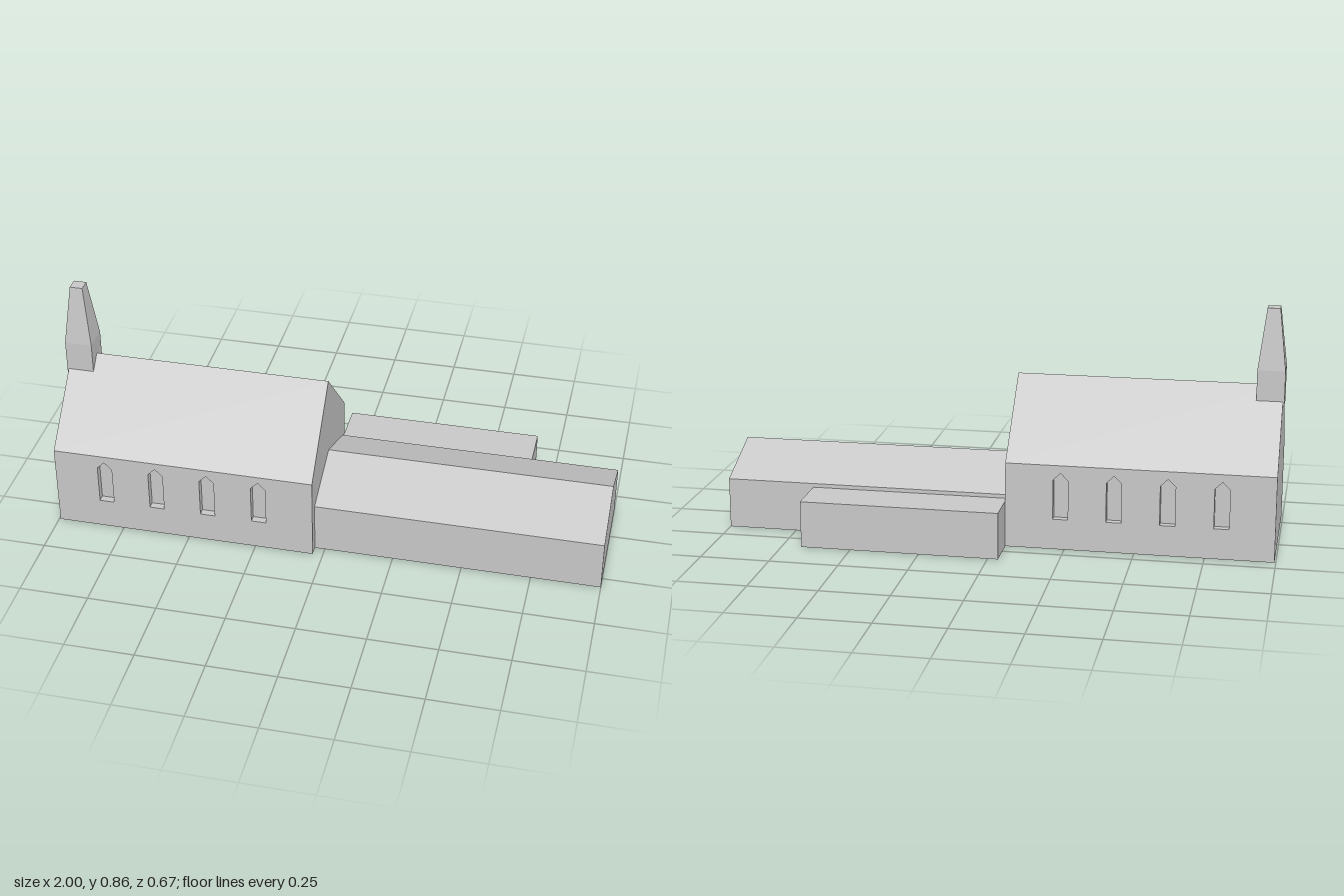
import * as THREE from 'three';

const stone = new THREE.MeshStandardMaterial({ color: 0xc8c8c8, flatShading: true });
stone.name = 'stone grey';

const JOIN = -0.037, WEST = -0.995, RIDGE_Z = 0.07, RECESS = 0.027;

function add(group, name, geometry, x = 0, y = 0, z = 0) {
  const mesh = new THREE.Mesh(geometry, stone);
  mesh.name = name;
  mesh.position.set(x, y, z);
  group.add(mesh);
  return mesh;
}

// Extrudes a cross-section given as [z, y] points from x0 to x1
function extrudeAlongX(points, x0, x1) {
  const shape = new THREE.Shape(points.map(([z, y]) => new THREE.Vector2(z, y)));
  const geometry = new THREE.ExtrudeGeometry(shape, { depth: x1 - x0, bevelEnabled: false });
  return geometry.rotateY(-Math.PI / 2).translate(x1, 0, 0);
}

// Wall slab with four pointed window openings
function windowWall(height) {
  const wall = new THREE.Shape([[WEST, 0], [JOIN, 0], [JOIN, height], [WEST, height]]
    .map(([x, y]) => new THREE.Vector2(x, y)));
  const half = 0.027;
  for (let i = 0; i < 4; i++) {
    const x = -0.807 + i * 0.1905;
    wall.holes.push(new THREE.Path([
      [x - half, 0.112], [x - half, 0.257], [x, 0.284], [x + half, 0.257], [x + half, 0.112],
    ].map(([px, py]) => new THREE.Vector2(px, py))));
  }
  return new THREE.ExtrudeGeometry(wall, { depth: RECESS, bevelEnabled: false });
}

export function createModel() {
  const model = new THREE.Group();
  model.name = 'church';

  // Nave: gabled core, set in under the eaves to leave room for the window walls
  const front = 0.336, back = -0.193, eaveFront = 0.309, eaveBack = 0.312;
  add(model, 'naveAndRoof', extrudeAlongX([
    [back + RECESS, 0], [front - RECESS, 0], [front - RECESS, eaveFront], [front, eaveFront],
    [RIDGE_Z, 0.576], [back, eaveBack], [back + RECESS, eaveBack],
  ], WEST, JOIN));
  add(model, 'frontWindowWall', windowWall(eaveFront), 0, 0, front - RECESS);
  add(model, 'backWindowWall', windowWall(eaveBack), 0, 0, back);

  // Low gabled hall
  add(model, 'hall', extrudeAlongX([
    [-0.163, 0], [0.299, 0], [0.299, 0.186], [RIDGE_Z, 0.277], [-0.163, 0.184],
  ], JOIN, 1));

  // Flat-roofed annex behind the hall
  const annexWidth = 0.68 - JOIN;
  add(model, 'annex', new THREE.BoxGeometry(annexWidth, 0.17, 0.173),
    JOIN + annexWidth / 2, 0.085, -0.2495);

  // Bell turret with a blunt, tapered spire
  const side = 0.099;
  add(model, 'turretBase', new THREE.BoxGeometry(side, 0.127, side), -0.9505, 0.5735, RIDGE_Z);
  const spire = new THREE.CylinderGeometry(0.023 * Math.SQRT2, side / 2 * Math.SQRT2, 0.22, 4);
  add(model, 'spire', spire.rotateY(Math.PI / 4), -0.9505, 0.747, RIDGE_Z);

  return model;
}
